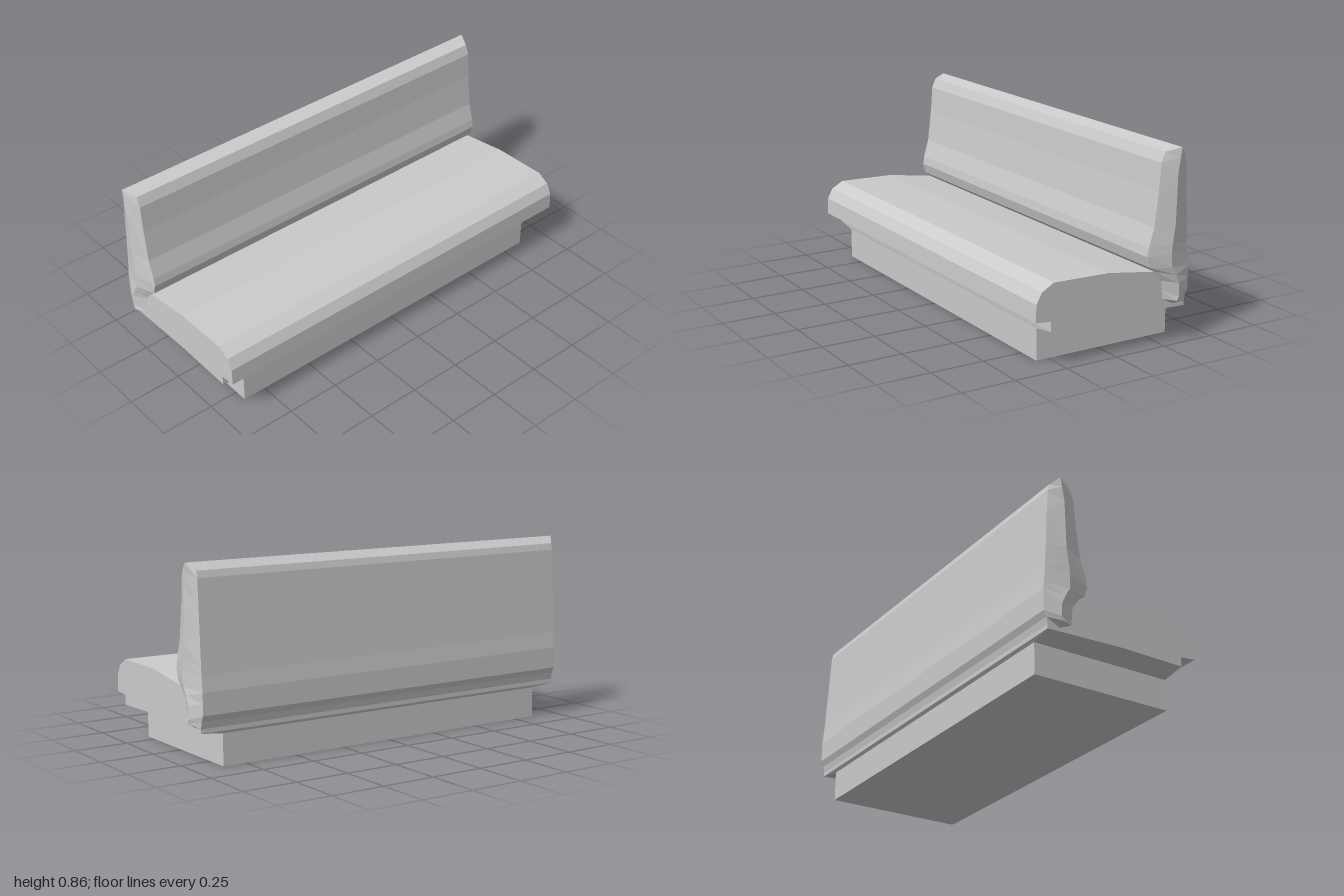
import * as THREE from 'three';

const material = new THREE.MeshStandardMaterial({ color: 0xcccccc, flatShading: true });

// Skin stacked rows, top to bottom. Each row is [left, middle, right] with points
// [x, y, z]; the row is mirrored in z to make a closed six-point ring.
function loft(rows) {
  const pos = [];
  const rings = rows.map(([l, m, r]) =>
    [l, m, r, ...[r, m, l].map(([x, y, z]) => [x, y, -z])]);
  const quad = (a, b, c, d) => pos.push(...a, ...b, ...c, ...a, ...c, ...d);
  for (let i = 0; i < rings.length - 1; i++) {
    for (let j = 0; j < 6; j++) {
      const k = (j + 1) % 6;
      quad(rings[i][j], rings[i + 1][j], rings[i + 1][k], rings[i][k]);
    }
  }
  const t = rings[0], b = rings[rings.length - 1];
  quad(t[0], t[1], t[4], t[5]);
  quad(t[1], t[2], t[3], t[4]);
  quad(b[5], b[4], b[1], b[0]);
  quad(b[4], b[3], b[2], b[1]);
  const geometry = new THREE.BufferGeometry();
  geometry.setAttribute('position', new THREE.Float32BufferAttribute(pos, 3));
  geometry.computeVertexNormals();
  return geometry;
}

export function createModel() {
  const group = new THREE.Group();
  const add = (name, geometry) => {
    const mesh = new THREE.Mesh(geometry, material);
    mesh.name = name;
    group.add(mesh);
    return mesh;
  };
  const END = 0.97;

  // Plinth
  add('base', new THREE.BoxGeometry(0.67, 0.145, 1.72)).position.set(-0.025, 0.0725, 0);

  // Sloping underside between plinth and seat
  add('seatUnderside', loft([
    [[-0.37, 0.155, END], [0.015, 0.167, END], [0.312, 0.161, END]],
    [[-0.36, 0.142, 0.86], [0.015, 0.142, 0.86], [0.31, 0.142, 0.86]],
  ]));

  // Seat cushion with overhanging front lip
  const profile = [
    [-0.37, 0.155], [0.015, 0.167], [0.312, 0.161], [0.312, 0.205], [0.386, 0.212],
    [0.383, 0.29], [0.357, 0.338], [0.3, 0.37], [0.03, 0.365], [-0.21, 0.331],
    [-0.31, 0.31], [-0.37, 0.175],
  ].map(([x, y]) => new THREE.Vector2(x, y));
  add('seat', new THREE.ExtrudeGeometry(new THREE.Shape(profile),
    { depth: 2 * END, bevelEnabled: false })).geometry.translate(0, 0, -END);

  // Backrest: rear edge, end ridge and front edge at each level (x, y pairs)
  const levels = [
    [-0.35, 0.83, -0.313, 0.862, -0.248, 0.845],
    [-0.358, 0.8, -0.306, 0.82, -0.229, 0.8],
    [-0.364, 0.7, -0.295, 0.75, -0.22, 0.68],
    [-0.372, 0.55, -0.29, 0.53, -0.201, 0.525],
    [-0.378, 0.44, -0.278, 0.45, -0.176, 0.44],
    [-0.381, 0.4, -0.275, 0.41, -0.17, 0.4],
    [-0.385, 0.36, -0.279, 0.345, -0.183, 0.352],
    [-0.388, 0.33, -0.3, 0.31, -0.21, 0.33],
    [-0.388, 0.28, -0.318, 0.27, -0.245, 0.285],
    [-0.388, 0.232, -0.32, 0.21, -0.25, 0.24],
    [-0.376, 0.205, -0.31, 0.192, -0.253, 0.202],
    [-0.37, 0.174, -0.31, 0.173, -0.253, 0.199],
  ];
  add('backrest', loft(levels.map(([lx, ly, mx, my, rx, ry], i) => [
    [lx, ly, END], [mx, my, i < levels.length - 1 ? 1 : END], [rx, ry, END],
  ])));

  return group;
}
